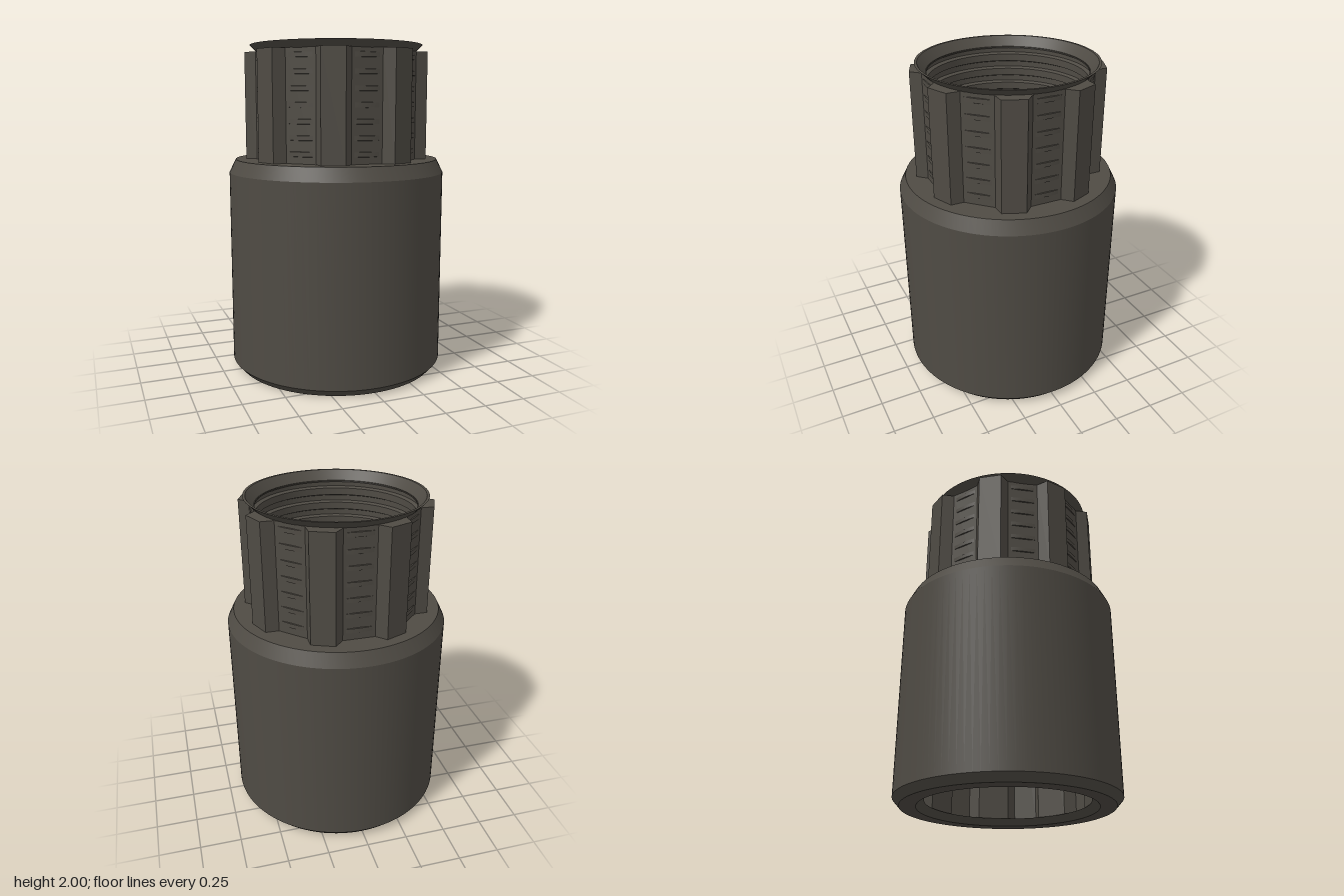
import * as THREE from 'three';
import { toCreasedNormals } from 'three/addons/utils/BufferGeometryUtils.js';

const darkGrey = new THREE.MeshStandardMaterial({ color: 0x4f4b44, side: THREE.DoubleSide });
darkGrey.name = 'dark grey';

// Smooth around the axis, sharp at profile corners
function turned(profile) {
  const points = profile.map(([r, y]) => new THREE.Vector2(r, y));
  return toCreasedNormals(new THREE.LatheGeometry(points, 96), 0.3);
}

// Eight flat-topped ribs with flat valleys between them
function flutedOutline(PathType, scale) {
  const outline = new PathType();
  for (let i = 0; i < 8; i++) {
    const corners = [[11, 0.496], [15.4, 0.562], [29.6, 0.562], [34, 0.496]];
    corners.forEach(([degrees, radius], j) => {
      const a = THREE.MathUtils.degToRad(degrees + i * 45);
      const x = Math.cos(a) * radius * scale;
      const y = Math.sin(a) * radius * scale;
      if (i + j === 0) outline.moveTo(x, y);
      else outline.lineTo(x, y);
    });
  }
  outline.closePath();
  return outline;
}

function extrudeUp(shape, y0, y1) {
  const geometry = new THREE.ExtrudeGeometry(shape, { depth: y1 - y0, bevelEnabled: false, curveSegments: 48 });
  return geometry.rotateX(-Math.PI / 2).translate(0, y0, 0);
}

export function createModel() {
  const model = new THREE.Group();
  model.name = 'flutedCoupling';
  const add = (name, geometry) => {
    const mesh = new THREE.Mesh(geometry, darkGrey);
    mesh.name = name;
    model.add(mesh);
  };

  // Chamfered sleeve with a tapered lip below and an inner shelf above
  add('sleeve', turned([
    [0.6, 0.04], [0.485, 0.04], [0.53, 0], [0.627, 0], [0.667, 0.045],
    [0.667, 1.23], [0.627, 1.31], [0.465, 1.31], [0.465, 1.25], [0.62, 1.25],
  ]));

  // Fluted socket inside the sleeve
  const socket = new THREE.Shape().absarc(0, 0, 0.62, 0, Math.PI * 2);
  socket.holes.push(flutedOutline(THREE.Path, 1.01));
  add('socket', extrudeUp(socket, 0.04, 1.25));

  // Ribbed barrel
  const barrel = flutedOutline(THREE.Shape, 1);
  barrel.holes.push(new THREE.Path().absarc(0, 0, 0.4855, 0, Math.PI * 2));
  add('barrel', extrudeUp(barrel, 1.3, 1.96));

  // Internal thread rings, whose roots break through the valleys
  const thread = [[0.464, 1.94]];
  for (let k = 6; k >= 0; k--) {
    const y = 1.365 + k * 0.0925;
    thread.push([0.464, y + 0.025], [0.493, y + 0.013], [0.493, y - 0.013], [0.464, y - 0.025]);
  }
  thread.push([0.464, 1.31]);
  add('thread', turned(thread));

  // Flared collar with a funnel mouth
  add('collar', turned([
    [0.48, 1.955], [0.488, 1.958], [0.53, 2], [0.515, 2], [0.464, 1.935],
  ]));

  return model;
}
